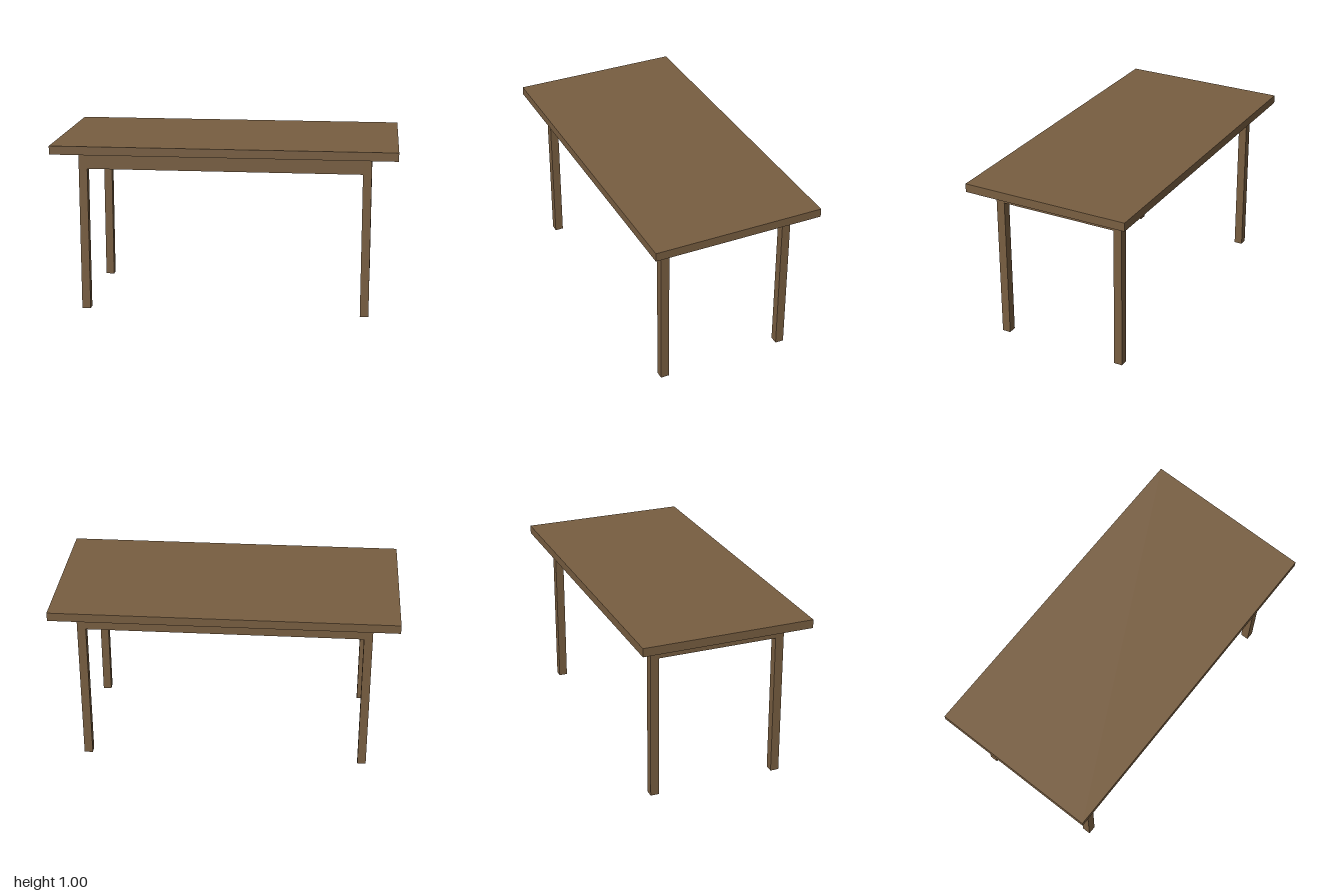
import * as THREE from 'three';

export function createModel() {
  const table = new THREE.Group();
  table.name = 'table';
  const wood = new THREE.MeshStandardMaterial({ color: 0x785e41 });
  wood.name = 'brown wood';

  const addBox = (name, size, position) => {
    const mesh = new THREE.Mesh(new THREE.BoxGeometry(...size), wood);
    mesh.name = name;
    mesh.position.set(...position);
    table.add(mesh);
  };

  const thick = 0.05; // shared by top, legs and rails
  const legX = 0.825, legZ = 0.375; // leg centres
  const underside = 0.95, railHeight = 0.1;
  const railY = underside - railHeight / 2;

  // Slab top
  addBox('tabletop', [2, thick, 1], [0, underside + thick / 2, 0]);

  // Square legs at the four corners
  for (const x of [-1, 1]) {
    for (const z of [-1, 1]) {
      const name = (z > 0 ? 'front' : 'back') + (x > 0 ? 'Left' : 'Right') + 'Leg';
      addBox(name, [thick, underside, thick], [x * legX, underside / 2, z * legZ]);
    }
  }

  // Apron rails between the legs, flush with their faces
  for (const s of [-1, 1]) {
    addBox(s > 0 ? 'frontApron' : 'backApron',
      [2 * legX - thick, railHeight, thick], [0, railY, s * legZ]);
    addBox(s > 0 ? 'leftApron' : 'rightApron',
      [thick, railHeight, 2 * legZ - thick], [s * legX, railY, 0]);
  }

  return table;
}
